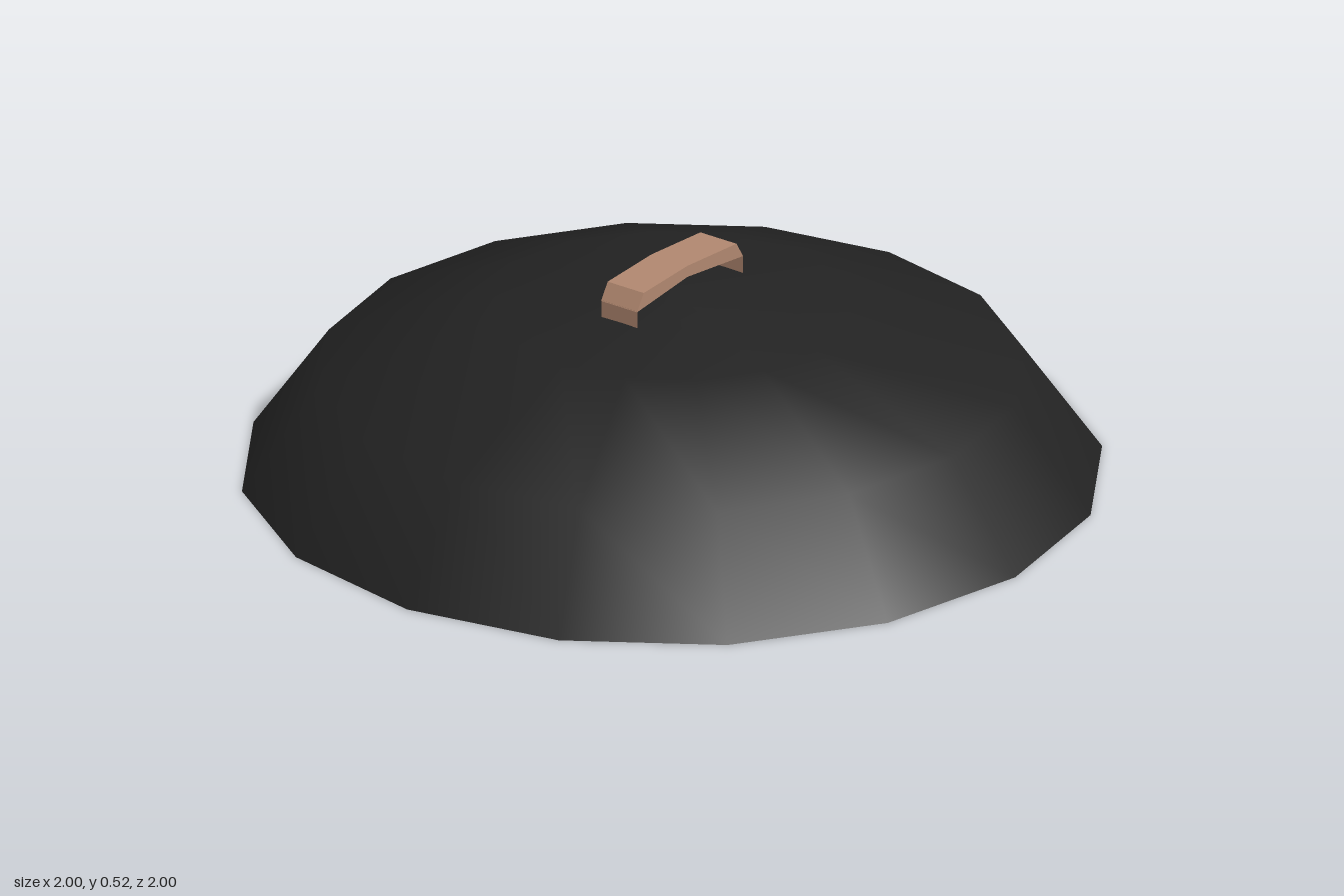
import * as THREE from 'three';

export function createModel() {
  const model = new THREE.Group();
  const black = new THREE.MeshStandardMaterial({ color: 0x222222, side: THREE.DoubleSide });
  black.name = 'black shell';
  const tan = new THREE.MeshStandardMaterial({ color: 0xb0876f, side: THREE.DoubleSide });
  tan.name = 'tan strap';

  const add = (name, geometry, material) => {
    const mesh = new THREE.Mesh(geometry, material);
    mesh.name = name;
    model.add(mesh);
    return mesh;
  };

  // Open, sixteen-sided smooth dome
  const profile = [[1, 0], [0.82, 0.255], [0.42, 0.412], [0, 0.455]];
  add('dome', new THREE.LatheGeometry(profile.map(([r, y]) => new THREE.Vector2(r, y)), 16), black);

  // Bent grip running front to back, drawn in (z, y) and extruded across x
  const outline = [[0.19, 0.475], [0.165, 0.515], [0, 0.525], [-0.185, 0.515], [-0.21, 0.475], [0, 0.497]];
  const shape = new THREE.Shape(outline.map(([z, y]) => new THREE.Vector2(z, y)));
  const width = 0.105, right = -0.06;
  const grip = new THREE.ExtrudeGeometry(shape, { depth: width, bevelEnabled: false });
  grip.rotateY(-Math.PI / 2).translate(right + width, 0, 0);
  add('grip', grip, tan);

  // Thin tabs that carry the grip down through the dome
  const top = 0.477, bottom = 0.42;
  for (const [name, z] of [['frontTab', 0.189], ['backTab', -0.209]]) {
    const tab = add(name, new THREE.PlaneGeometry(width, top - bottom), tan);
    tab.position.set(right + width / 2, (top + bottom) / 2, z);
    if (z < 0) tab.rotation.y = Math.PI;
  }
  return model;
}
